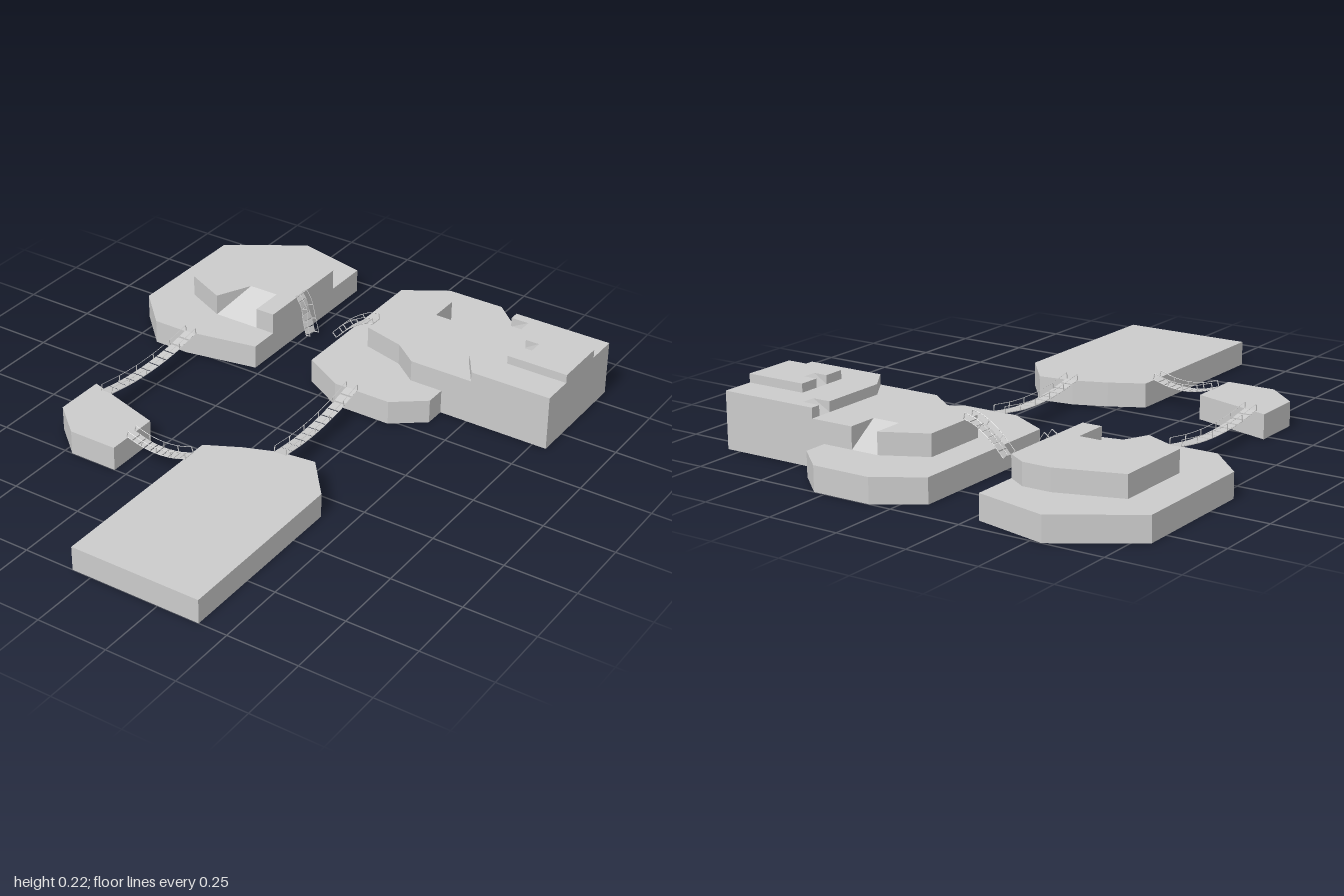
import * as THREE from 'three';

const mat = new THREE.MeshStandardMaterial({ color: 0xcccccc, flatShading: true, side: THREE.DoubleSide });

function add(parent, name, geometry) {
  const mesh = new THREE.Mesh(geometry, mat);
  mesh.name = name;
  parent.add(mesh);
  return mesh;
}

// Flat-topped slab from a plan outline of [x, z] corners
function slab(parent, name, outline, y0, y1) {
  const shape = new THREE.Shape(outline.map(([x, z]) => new THREE.Vector2(x, -z)));
  const geo = new THREE.ExtrudeGeometry(shape, { depth: y1 - y0, bevelEnabled: false });
  geo.rotateX(-Math.PI / 2).translate(0, y0, 0);
  return add(parent, name, geo);
}

// Sloping surface from a low edge up to a high edge
function ramp(parent, name, [a, b], y0, [c, d], y1) {
  const corners = [[a, y0], [b, y0], [d, y1], [c, y1]].map(([p, y]) => [p[0], y, p[1]]);
  const geo = new THREE.BufferGeometry();
  geo.setAttribute('position', new THREE.Float32BufferAttribute(corners.flat(), 3));
  geo.setIndex([0, 1, 2, 0, 2, 3]);
  geo.computeVertexNormals();
  return add(parent, name, geo);
}

// Hanging plank bridge with posts and rope rails along a curve
function bridge(parent, name, points, planks, posts, width = 0.042, railHeight = 0.022) {
  const group = new THREE.Group();
  group.name = name;
  parent.add(group);
  const curve = new THREE.CatmullRomCurve3(points.map((p) => new THREE.Vector3(...p)));
  const length = curve.getLength();
  const frameAt = (t) => {
    const frame = new THREE.Object3D();
    frame.position.copy(curve.getPointAt(t));
    frame.lookAt(frame.position.clone().add(curve.getTangentAt(t)));
    frame.updateMatrix();
    return frame.matrix;
  };
  const plankGeo = new THREE.BoxGeometry(width, 0.003, (length / planks) * 0.84);
  for (let i = 0; i < planks; i++) {
    add(group, 'plank', plankGeo).applyMatrix4(frameAt((i + 0.5) / planks));
  }
  for (const side of [-1, 1]) {
    const x = (side * width) / 2;
    for (const [part, h] of [['handRope', railHeight], ['deckRope', 0]]) {
      const path = [];
      for (let i = 0; i <= 10; i++) path.push(new THREE.Vector3(x, h, 0).applyMatrix4(frameAt(i / 10)));
      add(group, part, new THREE.TubeGeometry(new THREE.CatmullRomCurve3(path), 20, 0.0012, 4));
    }
    const postGeo = new THREE.BoxGeometry(0.0025, railHeight, 0.0025).translate(x, railHeight / 2, 0);
    for (let i = 0; i < posts; i++) add(group, 'post', postGeo).applyMatrix4(frameAt(i / (posts - 1)));
  }
}

// Points of a sagging span between two plan positions
function span([x0, z0], [x1, z1], y = 0.086, sag = 0.022) {
  return [0, 0.25, 0.5, 0.75, 1].map((t) => [
    x0 + (x1 - x0) * t, y - sag * 4 * t * (1 - t), z0 + (z1 - z0) * t,
  ]);
}

export function createModel() {
  const model = new THREE.Group();
  model.name = 'bridgedIslands';
  const H1 = 0.085, H2 = 0.16, H3 = 0.195, H4 = 0.225;

  // Ground-level islands
  slab(model, 'rightBackIsland', [[-0.8, -0.83], [-0.54, -1], [-0.28, -0.94], [-0.28, -0.28],
    [-0.54, -0.23], [-0.67, -0.23], [-0.8, -0.36]], 0, H1);
  slab(model, 'leftBackIsland', [[-0.07, -0.905], [0.08, -1], [0.29, -1], [0.4, -0.9],
    [0.4, -0.315], [0.29, -0.23], [0.08, -0.23], [-0.07, -0.315]], 0, H1);
  slab(model, 'frontIsland', [[-0.07, 0.325], [0.045, 0.265], [0.16, 0.22], [0.285, 0.205],
    [0.4, 0.345], [0.4, 1], [-0.07, 1]], 0, H1);
  slab(model, 'smallIsland', [[-0.585, 0.22], [-0.295, 0.305], [-0.295, 0.5], [-0.47, 0.5],
    [-0.585, 0.4]], 0, H1);

  // Raised terrace of the right island, with a ramp at the front
  slab(model, 'rightTerrace', [[-0.67, -0.75], [-0.45, -0.82], [-0.35, -0.82], [-0.28, -0.775],
    [-0.28, -0.39], [-0.35, -0.39], [-0.35, -0.515], [-0.46, -0.515], [-0.52, -0.39],
    [-0.67, -0.46]], H1, H2);
  ramp(model, 'rightTerraceRamp', [[-0.52, -0.39], [-0.35, -0.39]], H1,
    [[-0.46, -0.515], [-0.35, -0.515]], H2);

  // Stepped terraces of the left island, each with its own ramp
  slab(model, 'plateauBase', [[0.29, -0.815], [0.8, -0.815], [0.8, -0.39], [0.29, -0.39]], 0, H1);
  slab(model, 'leftTerrace', [[0.04, -0.74], [0.19, -0.815], [0.19, -0.705], [0.29, -0.705],
    [0.29, -0.815], [0.8, -0.815], [0.8, -0.39], [0.28, -0.39], [0.19, -0.46], [0.04, -0.5]], H1, H2);
  ramp(model, 'leftTerraceRamp', [[0.29, -0.815], [0.19, -0.815]], H1,
    [[0.29, -0.705], [0.19, -0.705]], H2);
  slab(model, 'upperTerrace', [[0.445, -0.815], [0.445, -0.78], [0.51, -0.78], [0.51, -0.73],
    [0.445, -0.73], [0.445, -0.49], [0.51, -0.39], [0.8, -0.39], [0.8, -0.815]], H2, H3);
  ramp(model, 'upperTerraceRamp', [[0.445, -0.78], [0.445, -0.73]], H2,
    [[0.51, -0.78], [0.51, -0.73]], H3);
  slab(model, 'summit', [[0.58, -0.7], [0.58, -0.63], [0.63, -0.63], [0.63, -0.58], [0.58, -0.58],
    [0.58, -0.505], [0.8, -0.505], [0.8, -0.7]], H3, H4);
  ramp(model, 'summitRamp', [[0.58, -0.63], [0.58, -0.58]], H3, [[0.63, -0.63], [0.63, -0.58]], H4);

  // Intact bridges
  bridge(model, 'rightBridge', span([-0.522, -0.235], [-0.522, 0.245]), 11, 6);
  bridge(model, 'leftBridge', span([0.145, -0.235], [0.167, 0.23]), 11, 6);
  bridge(model, 'frontBridge', span([-0.3, 0.403], [-0.065, 0.403]), 10, 5);

  // Two hanging halves of the broken bridge
  bridge(model, 'brokenBridgeRight', [[-0.285, 0.162, -0.56], [-0.267, 0.135, -0.56],
    [-0.252, 0.08, -0.56], [-0.232, 0.02, -0.555]], 6, 4);
  bridge(model, 'brokenBridgeLeft', [[0.045, 0.162, -0.547], [0.01, 0.153, -0.547],
    [-0.05, 0.115, -0.547], [-0.105, 0.06, -0.547]], 7, 4);

  return model;
}
